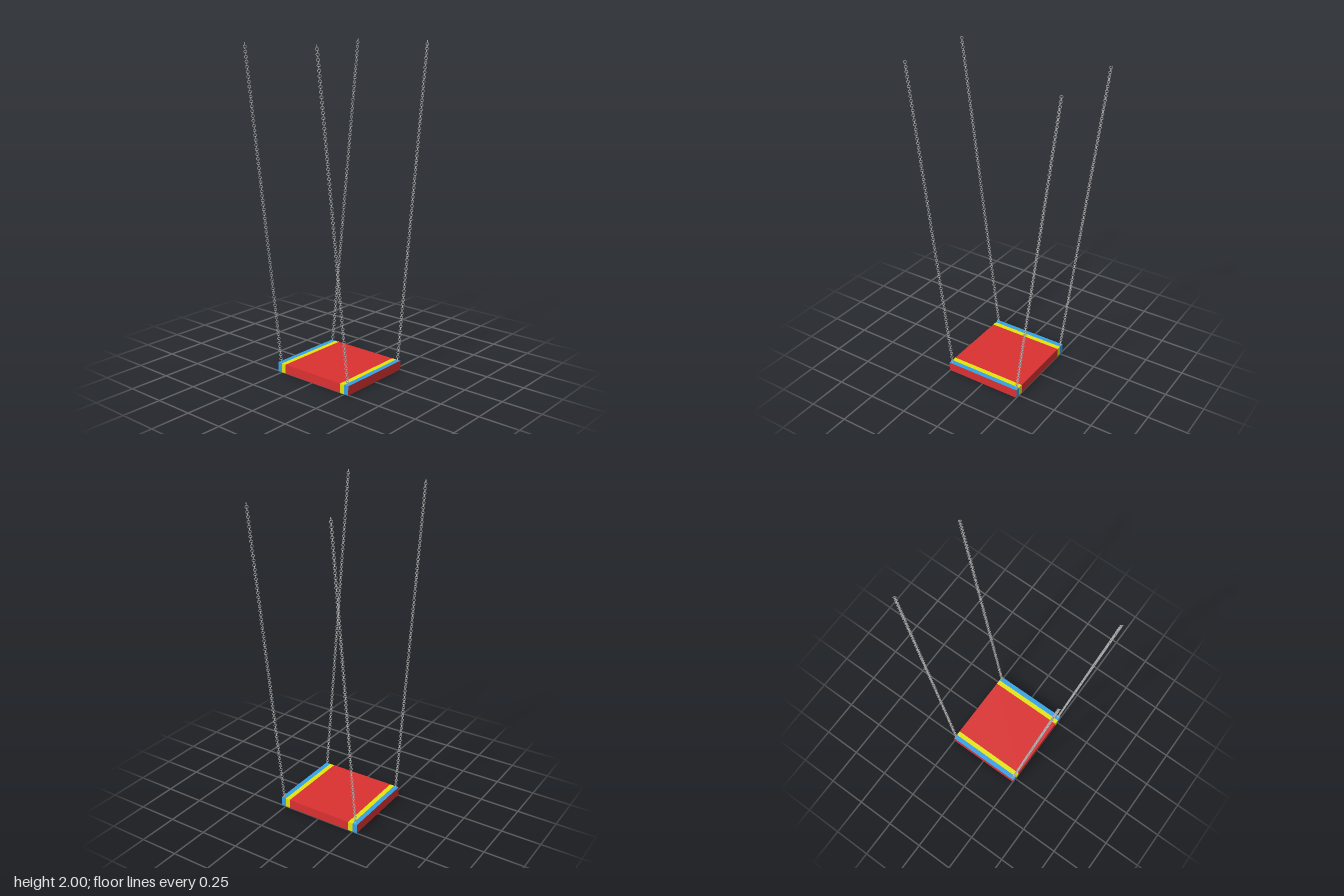
import * as THREE from 'three';

const mat = (name, color) => {
  const m = new THREE.MeshStandardMaterial({ color });
  m.name = name;
  return m;
};

export function createModel() {
  const model = new THREE.Group();
  model.name = 'swing';
  const red = mat('seat red', 0xdb3131);
  const yellow = mat('stripe yellow', 0xe5e50c);
  const blue = mat('edge blue', 0x35a2e8);
  const steel = mat('chain grey', 0xb4b4b4);

  // Seat slab, built from bands running front to back
  const H = 0.058, D = 0.504;
  const band = (name, x0, x1, material) => {
    const m = new THREE.Mesh(new THREE.BoxGeometry(x1 - x0, H, D), material);
    m.position.set((x0 + x1) / 2, H / 2, 0.002);
    m.name = name;
    model.add(m);
  };
  band('seat', -0.218, 0.218, red);
  for (const s of [1, -1]) {
    const side = s > 0 ? 'left' : 'right';
    const span = (a, b) => (s > 0 ? [a, b] : [-b, -a]);
    band(side + 'Stripe', ...span(0.218, 0.249), yellow);
    // The outer end face of each edge band is red
    const faces = Array(6).fill(blue);
    faces[s > 0 ? 0 : 1] = red;
    band(side + 'Edge', ...span(0.249, 0.28), faces);
  }

  // One round chain link
  const link = new THREE.TorusGeometry(0.0085, 0.0018, 6, 14);

  // Four chains leaning outwards, links set diagonally and crossing in turn
  const COUNT = 142;
  for (const sx of [1, -1]) {
    for (const sz of [1, -1]) {
      const chain = new THREE.Group();
      chain.name = (sz > 0 ? 'front' : 'back') + (sx > 0 ? 'Left' : 'Right') + 'Chain';
      const start = new THREE.Vector3(sx * 0.265, 0.054, sz * 0.24);
      const end = new THREE.Vector3(sx * 0.265, 1.99, sz * 0.492);
      const dir = end.clone().sub(start);
      const length = dir.length();
      chain.position.copy(start);
      chain.quaternion.setFromUnitVectors(new THREE.Vector3(0, 1, 0), dir.normalize());
      for (let i = 0; i < COUNT; i++) {
        const m = new THREE.Mesh(link, steel);
        m.name = 'chainLink';
        m.position.y = (length * i) / (COUNT - 1);
        m.rotation.y = (i % 2 ? -1 : 1) * Math.PI / 4;
        chain.add(m);
      }
      model.add(chain);
    }
  }
  return model;
}
